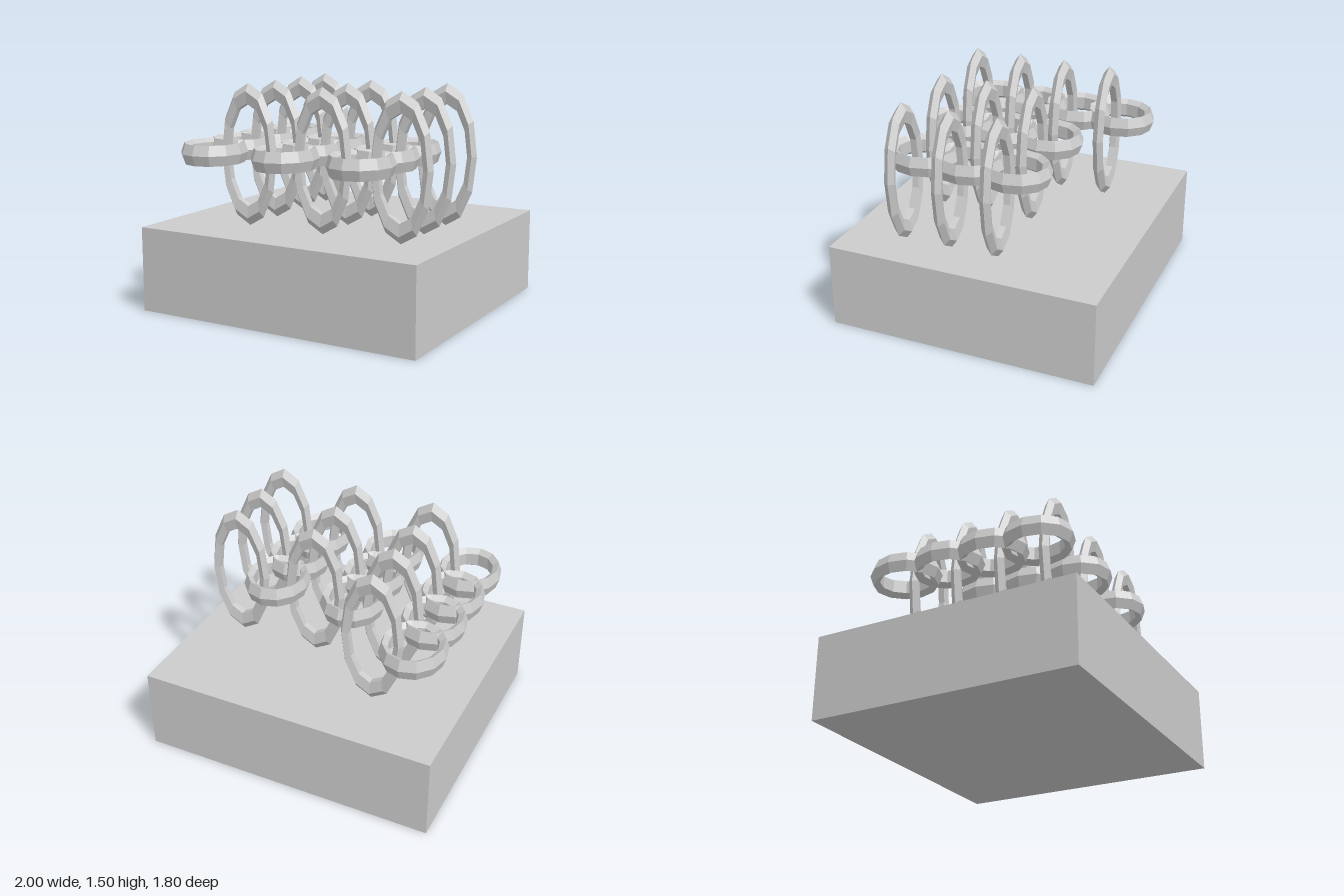
import * as THREE from 'three';

const material = new THREE.MeshStandardMaterial({ color: 0xcccccc, flatShading: true });

// Low-poly link with outer radius 1: pentagonal tube, 12 sides, stretched to fit the block
function ringGeometry(lying) {
  const geometry = new THREE.TorusGeometry(0.846, 0.154, 5, 12);
  if (lying) geometry.rotateX(Math.PI / 2);
  return geometry.scale(0.214, 0.467, 0.245);
}

export function createModel() {
  const model = new THREE.Group();
  model.name = 'linkedRingsOnBlock';

  // Base block
  const base = new THREE.Mesh(new THREE.BoxGeometry(2, 0.564, 1.8), material);
  base.name = 'baseBlock';
  base.position.y = 0.282;
  model.add(base);

  // Rows of links, alternating lying and upright; the back row has one pair only
  const lyingRing = ringGeometry(true);
  const uprightRing = ringGeometry(false);
  for (let row = 0; row < 4; row++) {
    const chain = new THREE.Group();
    chain.name = `chainRow${row + 1}`;
    chain.position.set(0, 1.034, -0.465 + row * 0.321);
    const count = row === 0 ? 2 : 6;
    for (let i = 0; i < count; i++) {
      const lying = i % 2 === 0;
      const ring = new THREE.Mesh(lying ? lyingRing : uprightRing, material);
      ring.name = lying ? 'lyingRing' : 'uprightRing';
      ring.position.x = -0.695 + i * 0.278;
      chain.add(ring);
    }
    model.add(chain);
  }
  return model;
}
